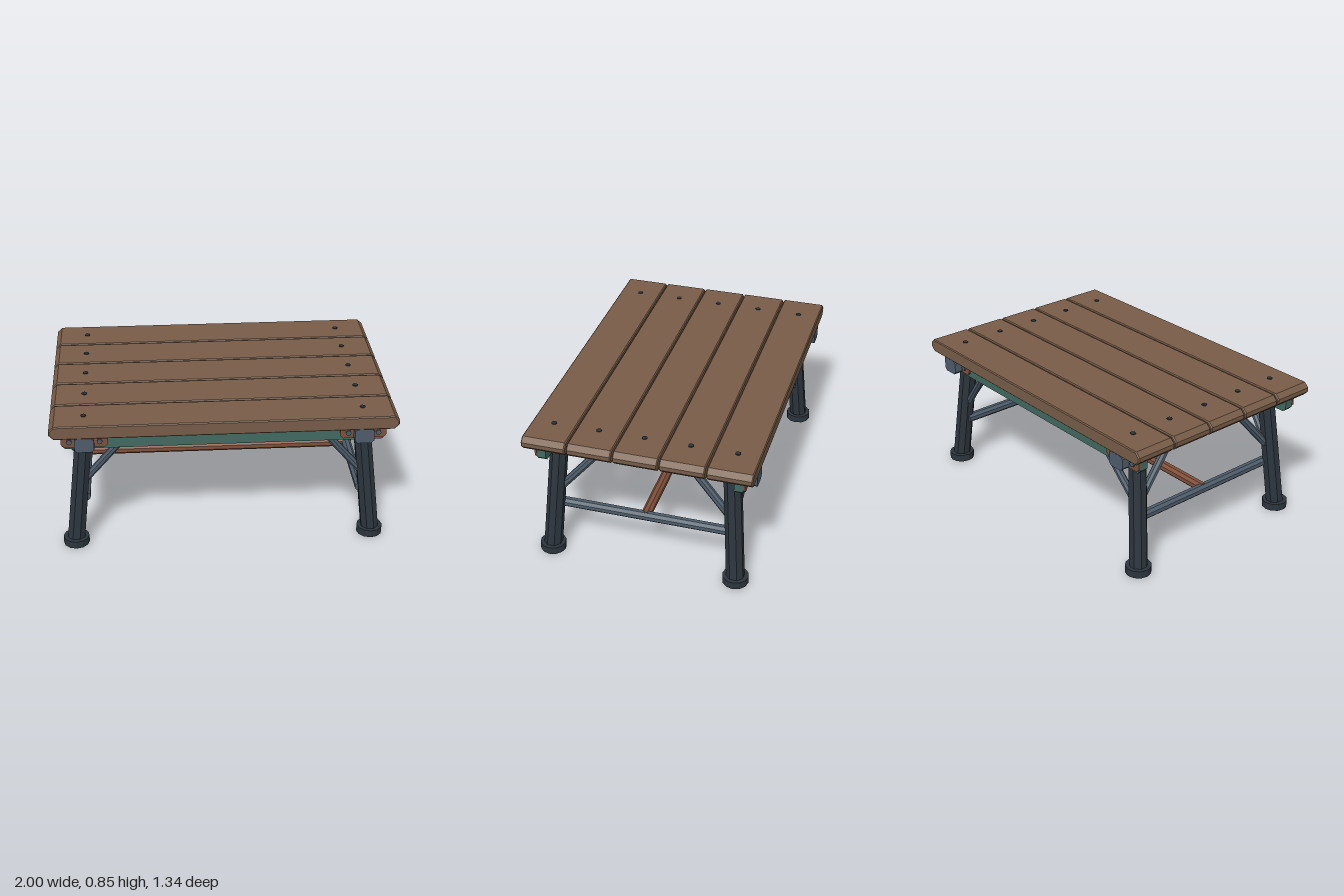
import * as THREE from 'three';

const mat = (name, color) => {
  const m = new THREE.MeshStandardMaterial({ color, flatShading: true });
  m.name = name;
  return m;
};

export function createModel() {
  const table = new THREE.Group();
  table.name = 'table';
  const wood = mat('brown wood', 0x775c47);
  const steel = mat('blue grey steel', 0x4e5d6b);
  const dark = mat('dark iron', 0x2c353d);
  const green = mat('green paint', 0x426a60);
  const rust = mat('rust', 0x81503a);

  const add = (name, geo, material, x = 0, y = 0, z = 0) => {
    const mesh = new THREE.Mesh(geo, material);
    mesh.name = name;
    mesh.position.set(x, y, z);
    table.add(mesh);
    return mesh;
  };

  // Rectangle with cut corners, extruded along z and centred
  const slab = (w, h, d, cut, bevel = 0) => {
    const a = w / 2, b = h / 2, c = cut;
    const shape = new THREE.Shape([
      [-a + c, -b], [a - c, -b], [a, -b + c], [a, b - c],
      [a - c, b], [-a + c, b], [-a, b - c], [-a, -b + c],
    ].map(([x, y]) => new THREE.Vector2(x, y)));
    const geo = new THREE.ExtrudeGeometry(shape, {
      depth: d - 2 * bevel, bevelEnabled: bevel > 0, bevelThickness: bevel,
      bevelSize: bevel, bevelOffset: -bevel, bevelSegments: 1,
    });
    return geo.translate(0, 0, -d / 2 + bevel);
  };

  // Faceted rod between two points
  const rod = (name, from, to, r, material, sides = 8, rTop = r) => {
    const p = new THREE.Vector3(...from), q = new THREE.Vector3(...to);
    const geo = new THREE.CylinderGeometry(rTop, r, p.distanceTo(q), sides);
    geo.rotateY(Math.PI / sides);
    const mesh = add(name, geo, material);
    mesh.position.copy(p).add(q).multiplyScalar(0.5);
    mesh.quaternion.setFromUnitVectors(new THREE.Vector3(0, 1, 0), q.sub(p).normalize());
    return mesh;
  };

  // Table top: five planks, each with two bolt heads
  for (let i = -2; i <= 2; i++) {
    const z = i * 0.269;
    add('plank', slab(2, 0.082, 0.26, 0.028, 0.006), wood, 0, 0.805, z);
    for (const s of [-1, 1]) {
      add('plankBolt', new THREE.CylinderGeometry(0.016, 0.016, 0.02, 8), dark, s * 0.804, 0.841, z);
    }
  }

  // Long rails under the front and back planks
  for (const s of [-1, 1]) {
    add('longRail', slab(1.87, 0.098, 0.052, 0.02), green, 0, 0.716, s * 0.575);
  }

  for (const sx of [-1, 1]) {
    // Cross beam and low side stretcher
    add('crossBeam', slab(0.112, 0.09, 1.325, 0.016), steel, sx * 0.803, 0.72, 0);
    rod('sideStretcher', [sx * 0.817, 0.305, -0.545], [sx * 0.817, 0.305, 0.545], 0.03, steel);

    for (const sz of [-1, 1]) {
      // Leg and foot
      rod('leg', [sx * 0.887, 0.02, sz * 0.562], [sx * 0.807, 0.745, sz * 0.51], 0.055, dark, 8, 0.053);
      add('foot', new THREE.CylinderGeometry(0.077, 0.077, 0.045, 12), dark, sx * 0.885, 0.0225, sz * 0.562);

      // Diagonal braces from the leg to the rail and to the cross beam
      rod('railBrace', [sx * 0.815, 0.42, sz * 0.53], [sx * 0.59, 0.695, sz * 0.56], 0.023, steel);
      rod('beamBrace', [sx * 0.835, 0.42, sz * 0.515], [sx * 0.805, 0.7, sz * 0.272], 0.0245, steel);

      // Bolted corner plate
      add('cornerPlate', slab(0.27, 0.078, 0.012, 0.018), rust, sx * 0.803, 0.722, sz * 0.607);
      for (const dx of [-0.087, 0.087]) {
        const bolt = new THREE.CylinderGeometry(0.016, 0.016, 0.016, 8).rotateX(Math.PI / 2);
        add('plateBolt', bolt, steel, sx * 0.803 + dx, 0.72, sz * 0.616);
      }
    }
  }

  // Long centre stretcher
  rod('centreStretcher', [-0.82, 0.306, 0], [0.82, 0.306, 0], 0.031, rust);
  return table;
}
